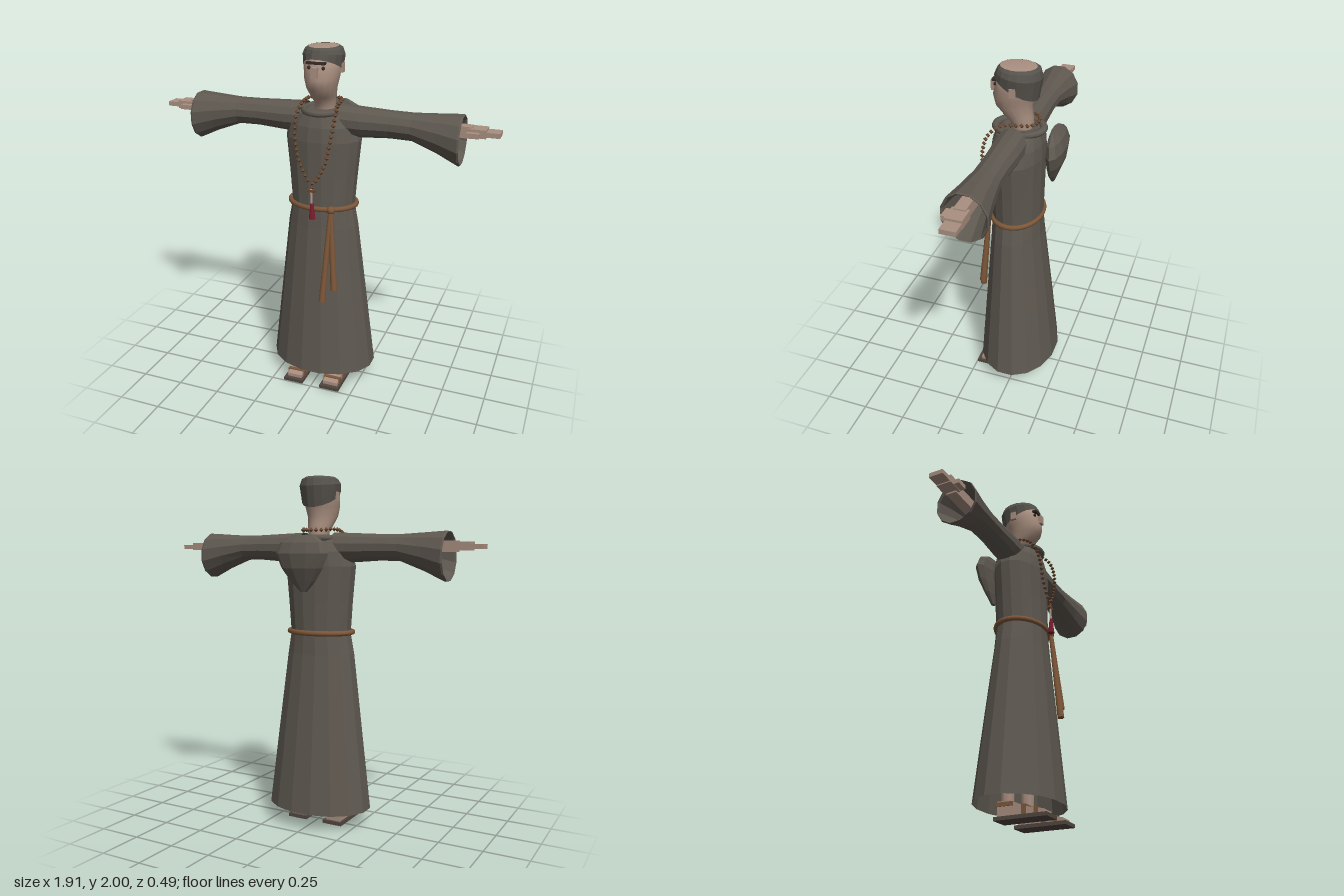
import * as THREE from 'three';

const material = (name, color, side = THREE.FrontSide) => {
  const m = new THREE.MeshStandardMaterial({ color, side });
  m.name = name;
  return m;
};

// Loft of elliptical rings, listed bottom to top as [y, rx, rz, cx, cz, tilt]
function loft(rings, n, { bottom = false, top = false, smooth = false } = {}) {
  const pos = [], idx = [];
  for (const [y, rx, rz, cx = 0, cz = 0, tilt = 0] of rings) {
    for (let i = 0; i < n; i++) {
      const a = (i + 0.5) / n * Math.PI * 2;
      pos.push(cx + rx * Math.sin(a), y + tilt * Math.cos(a), cz + rz * Math.cos(a));
    }
  }
  for (let r = 0; r < rings.length - 1; r++) {
    for (let i = 0; i < n; i++) {
      const a = r * n + i, b = r * n + (i + 1) % n;
      idx.push(a, b, b + n, a, b + n, a + n);
    }
  }
  const cap = (r, up) => {
    const [y, , , cx = 0, cz = 0] = rings[r], c = pos.length / 3;
    pos.push(cx, y, cz);
    for (let i = 0; i < n; i++) {
      const a = r * n + i, b = r * n + (i + 1) % n;
      idx.push(c, up ? a : b, up ? b : a);
    }
  };
  if (bottom) cap(0, false);
  if (top) cap(rings.length - 1, true);
  let g = new THREE.BufferGeometry();
  g.setAttribute('position', new THREE.Float32BufferAttribute(pos, 3));
  g.setIndex(idx);
  if (!smooth) g = g.toNonIndexed();
  g.computeVertexNormals();
  return g;
}

export function createModel() {
  const model = new THREE.Group();
  model.name = 'robedMonk';
  const robe = material('robe grey', 0x5e5850, THREE.DoubleSide);
  const hair = material('hair grey', 0x55514b, THREE.DoubleSide);
  const skin = material('skin', 0xa98f80);
  const rope = material('rope brown', 0x7d5739);
  const wood = material('bead brown', 0x68462f);
  const red = material('tassel red', 0x7d1c2c);
  const pale = material('pale string', 0xb9a39a);
  const sole = material('sole brown', 0x51463f);
  const dark = material('dark brow', 0x352c27);

  const add = (name, geo, mat, parent = model) => {
    const m = new THREE.Mesh(geo, mat);
    m.name = name;
    parent.add(m);
    return m;
  };
  // Box given by its limits on each axis
  const box = (name, [x0, x1], [y0, y1], [z0, z1], mat, parent) => {
    const m = add(name, new THREE.BoxGeometry(Math.abs(x1 - x0), y1 - y0, z1 - z0), mat, parent);
    m.position.set((x0 + x1) / 2, (y0 + y1) / 2, (z0 + z1) / 2);
    return m;
  };
  const ring = (name, y, cz, rx, rz, tube, mat) => {
    const g = new THREE.TorusGeometry(1, tube / rx, 8, 28);
    g.rotateX(Math.PI / 2);
    g.scale(rx, rx, rz);
    g.translate(0, y, cz);
    return add(name, g, mat);
  };

  // Robe: open skirt, waist, chest and shoulders
  add('robe', loft([
    [0.1, 0.315, 0.235, 0, 0.012],
    [0.55, 0.26, 0.192, 0, 0.018],
    [1.0, 0.205, 0.147, 0, 0.025],
    [1.12, 0.182, 0.142, 0, 0.025],
    [1.3, 0.196, 0.143, 0, 0.022],
    [1.5, 0.215, 0.146, 0, 0.02],
    [1.58, 0.195, 0.14, 0, 0.018],
    [1.64, 0.15, 0.125, 0, 0.015],
    [1.66, 0.1, 0.1, 0, 0.01],
  ], 16, { top: true }), robe);
  ring('collar', 1.655, 0.015, 0.105, 0.13, 0.018, robe);

  // Hanging hood on the back
  add('hood', loft([
    [1.36, 0.02, 0.01, 0, -0.175],
    [1.42, 0.08, 0.026, 0, -0.182],
    [1.49, 0.13, 0.042, 0, -0.193],
    [1.57, 0.165, 0.048, 0, -0.197],
    [1.63, 0.14, 0.036, 0, -0.19],
    [1.67, 0.07, 0.014, 0, -0.178],
  ], 10, { bottom: true, top: true }), robe);

  // Head, tonsured hair and face
  const head = new THREE.Group();
  head.name = 'head';
  model.add(head);
  add('face', loft([
    [1.64, 0.058, 0.06, 0, 0],
    [1.69, 0.059, 0.062, 0, 0],
    [1.73, 0.07, 0.08, 0, 0.022],
    [1.78, 0.082, 0.1, 0, 0.047],
    [1.83, 0.093, 0.113, 0, 0.045],
    [1.88, 0.101, 0.113, 0, 0.032],
    [1.95, 0.1, 0.11, 0, 0.022],
  ], 16, { top: true, smooth: true }), skin, head);
  add('hair', loft([
    [1.882, 0.106, 0.118, 0, 0.03, 0.058],
    [1.952, 0.114, 0.123, 0, 0.015, 0.012],
    [1.982, 0.1, 0.114, 0, 0.016],
    [1.994, 0.08, 0.098, 0, 0.02],
  ], 16), hair, head);
  add('bareCrown', loft([
    [1.993, 0.081, 0.099, 0, 0.02],
    [1.998, 0.05, 0.06, 0, 0.02],
  ], 16, { top: true, smooth: true }), skin, head);
  box('nose', [-0.016, 0.016], [1.845, 1.9], [0.12, 0.168], skin, head);
  box('brow', [-0.052, 0.052], [1.914, 1.927], [0.12, 0.148], dark, head);

  for (const s of [1, -1]) {
    const side = s > 0 ? 'left' : 'right';
    const eye = add(side + 'Eye', new THREE.SphereGeometry(0.01, 8, 6), dark, head);
    eye.position.set(s * 0.04, 1.895, 0.133);
    box(side + 'Ear', [s * 0.09, s * 0.112], [1.86, 1.91], [0.002, 0.036], skin, head);

    // Flared sleeve, turned back inside the cuff; listed as [x, ry, rz, cy, cz]
    const sleeve = [
      [0.1, 0.085, 0.085, 1.605, 0.018],
      [0.22, 0.083, 0.085, 1.602, 0.018],
      [0.38, 0.074, 0.078, 1.604, 0.018],
      [0.5, 0.074, 0.08, 1.602, 0.018],
      [0.64, 0.105, 0.1, 1.58, 0.02],
      [0.755, 0.136, 0.124, 1.557, 0.022],
      [0.765, 0.132, 0.12, 1.557, 0.022],
      [0.755, 0.122, 0.11, 1.557, 0.022],
      [0.64, 0.092, 0.088, 1.58, 0.02],
      [0.5, 0.064, 0.068, 1.602, 0.018],
    ].map(([x, ry, rz, cy, cz]) => [x, ry, rz, -s * cy, cz]);
    add(side + 'Sleeve', loft(sleeve, 12).rotateZ(-s * Math.PI / 2), robe);

    // Arm and blocky hand
    const hand = new THREE.Group();
    hand.name = side + 'Hand';
    model.add(hand);
    box('wrist', [s * 0.5, s * 0.81], [1.578, 1.638], [-0.01, 0.05], skin, hand);
    box('palm', [s * 0.79, s * 0.885], [1.588, 1.632], [-0.024, 0.064], skin, hand);
    box('fingers', [s * 0.88, s * 0.955], [1.595, 1.62], [-0.024, 0.058], skin, hand);
    box('thumb', [s * 0.79, s * 0.855], [1.592, 1.618], [0.06, 0.094], skin, hand);

    // Leg, wedge foot and strapped sandal
    const foot = new THREE.Group();
    foot.name = side + 'Foot';
    model.add(foot);
    const cx = s * 0.115;
    box('sole', [cx - 0.06, cx + 0.06], [0, 0.02], [-0.055, 0.245], sole, foot);
    const wedge = new THREE.Shape([[-0.04, 0.02], [0.222, 0.02], [0.222, 0.04], [0.12, 0.062], [0.035, 0.1], [-0.04, 0.1]]
      .map(p => new THREE.Vector2(...p)));
    const wedgeGeo = new THREE.ExtrudeGeometry(wedge, { depth: 0.09, bevelEnabled: false });
    wedgeGeo.rotateY(-Math.PI / 2);
    wedgeGeo.translate(cx + 0.045, 0, 0);
    add('foot', wedgeGeo, skin, foot);
    const leg = add('leg', new THREE.CylinderGeometry(0.045, 0.035, 0.4, 8), skin, foot);
    leg.position.set(cx, 0.28, -0.003);
    box('ankleStrap', [cx - 0.05, cx + 0.05], [0.072, 0.094], [-0.045, 0.05], rope, foot);
    box('instepStrap', [cx - 0.053, cx + 0.053], [0.02, 0.073], [0.1, 0.125], rope, foot);
    box('toeStrap', [cx - 0.053, cx + 0.053], [0.02, 0.053], [0.17, 0.19], rope, foot);
  }

  // Rope belt with knot and two hanging ends
  ring('belt', 1.125, 0.026, 0.192, 0.145, 0.015, rope);
  const knot = add('beltKnot', new THREE.SphereGeometry(0.024, 8, 6), rope);
  knot.position.set(0.095, 1.125, 0.162);
  for (const [x, y, z] of [[0.067, 0.585, 0.228], [0.13, 0.66, 0.205]]) {
    const from = new THREE.Vector3(0.095, 1.13, 0.165), to = new THREE.Vector3(x, y, z);
    const dir = to.clone().sub(from), len = dir.length();
    const cord = add('beltEnd', new THREE.CylinderGeometry(0.013, 0.02, len, 8), rope);
    cord.position.copy(from).add(to).multiplyScalar(0.5);
    cord.quaternion.setFromUnitVectors(new THREE.Vector3(0, -1, 0), dir.normalize());
  }

  // Bead necklace: half path mirrored into a closed loop
  const half = [[0.06, 1.7, -0.07], [0.095, 1.705, 0], [0.102, 1.692, 0.085], [0.11, 1.63, 0.155],
    [0.1, 1.52, 0.193], [0.07, 1.39, 0.2]];
  const path = [[0, 1.7, -0.09], ...half, [0, 1.285, 0.205],
    ...half.slice().reverse().map(([x, y, z]) => [-x, y, z])];
  const loop = new THREE.CatmullRomCurve3(path.map(p => new THREE.Vector3(...p)), true);
  const beads = new THREE.Group();
  beads.name = 'necklace';
  model.add(beads);
  const beadGeo = new THREE.OctahedronGeometry(0.0135);
  for (let i = 0; i < 48; i++) add('bead', beadGeo, wood, beads).position.copy(loop.getPointAt(i / 48));

  // Pendant with string and tassel
  add('pendantBead', beadGeo, wood, beads).position.set(0, 1.262, 0.208);
  box('pendantBar', [-0.024, 0.024], [1.236, 1.25], [0.202, 0.216], wood, beads);
  box('pendantString', [-0.005, 0.005], [1.16, 1.26], [0.204, 0.214], pale, beads);
  const tassel = add('tassel', new THREE.CylinderGeometry(0.009, 0.019, 0.09, 8), red, beads);
  tassel.position.set(0.003, 1.127, 0.21);
  return model;
}
